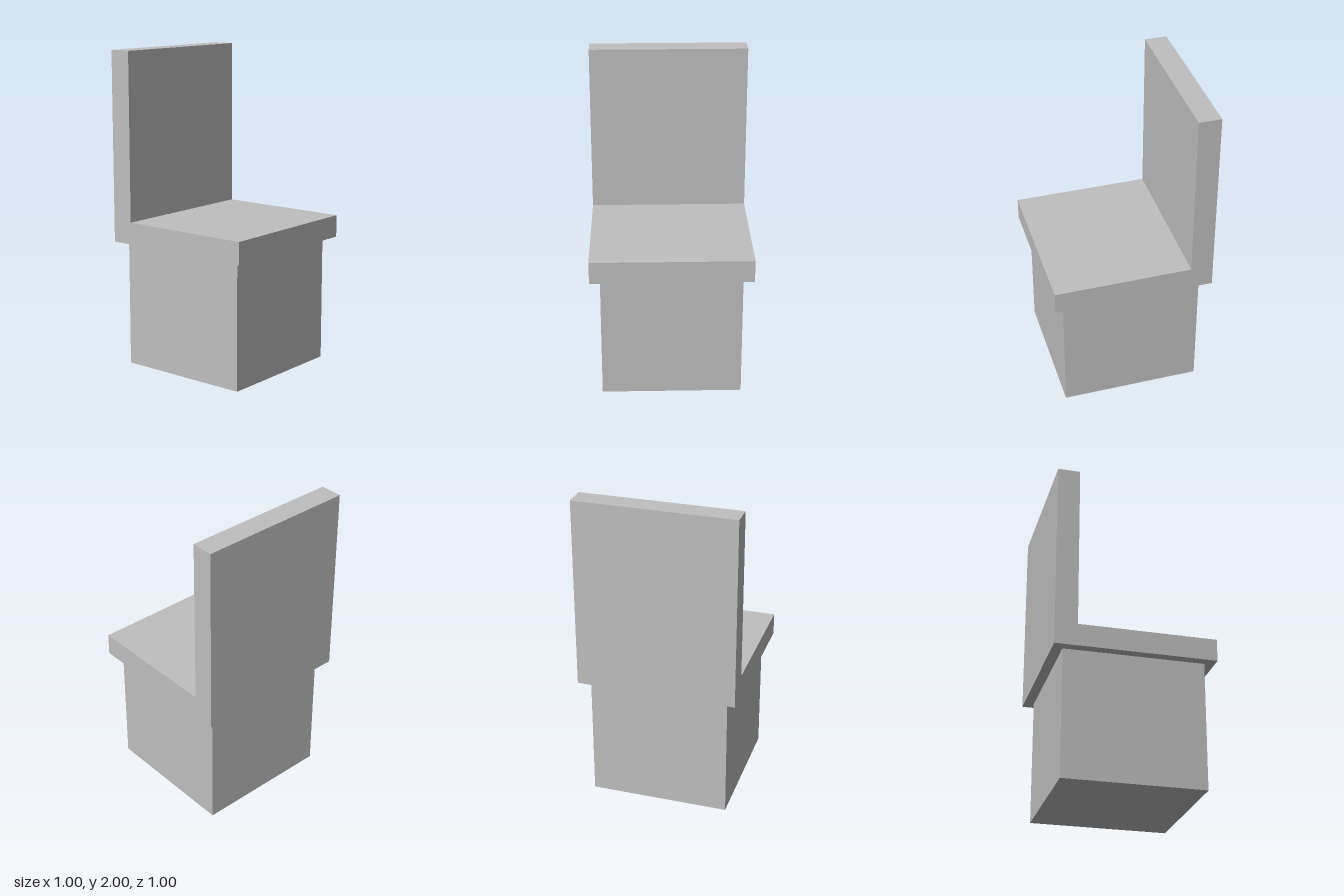
import * as THREE from 'three';

export function createModel() {
  const model = new THREE.Group();
  model.name = 'chair';
  const grey = new THREE.MeshStandardMaterial({ color: 0xbfbfbf });
  grey.name = 'plain grey';

  // Solid block under the seat
  const base = new THREE.Mesh(new THREE.BoxGeometry(0.874, 0.8, 0.874), grey);
  base.name = 'base';
  base.position.y = 0.4;
  model.add(base);

  // Seat and backrest: one L-shaped side profile (depth, height), extruded across the width
  const profile = new THREE.Shape([
    [-0.5, 0.8], [0.5, 0.8], [0.5, 0.94], [-0.36, 0.94], [-0.36, 2], [-0.5, 2],
  ].map(([z, y]) => new THREE.Vector2(-z, y)));
  const geometry = new THREE.ExtrudeGeometry(profile, { depth: 1, bevelEnabled: false });
  geometry.translate(0, 0, -0.5);
  geometry.rotateY(Math.PI / 2); // profile axis -z becomes +z, extrusion runs along x
  const seat = new THREE.Mesh(geometry, grey);
  seat.name = 'seatAndBackrest';
  model.add(seat);

  return model;
}
